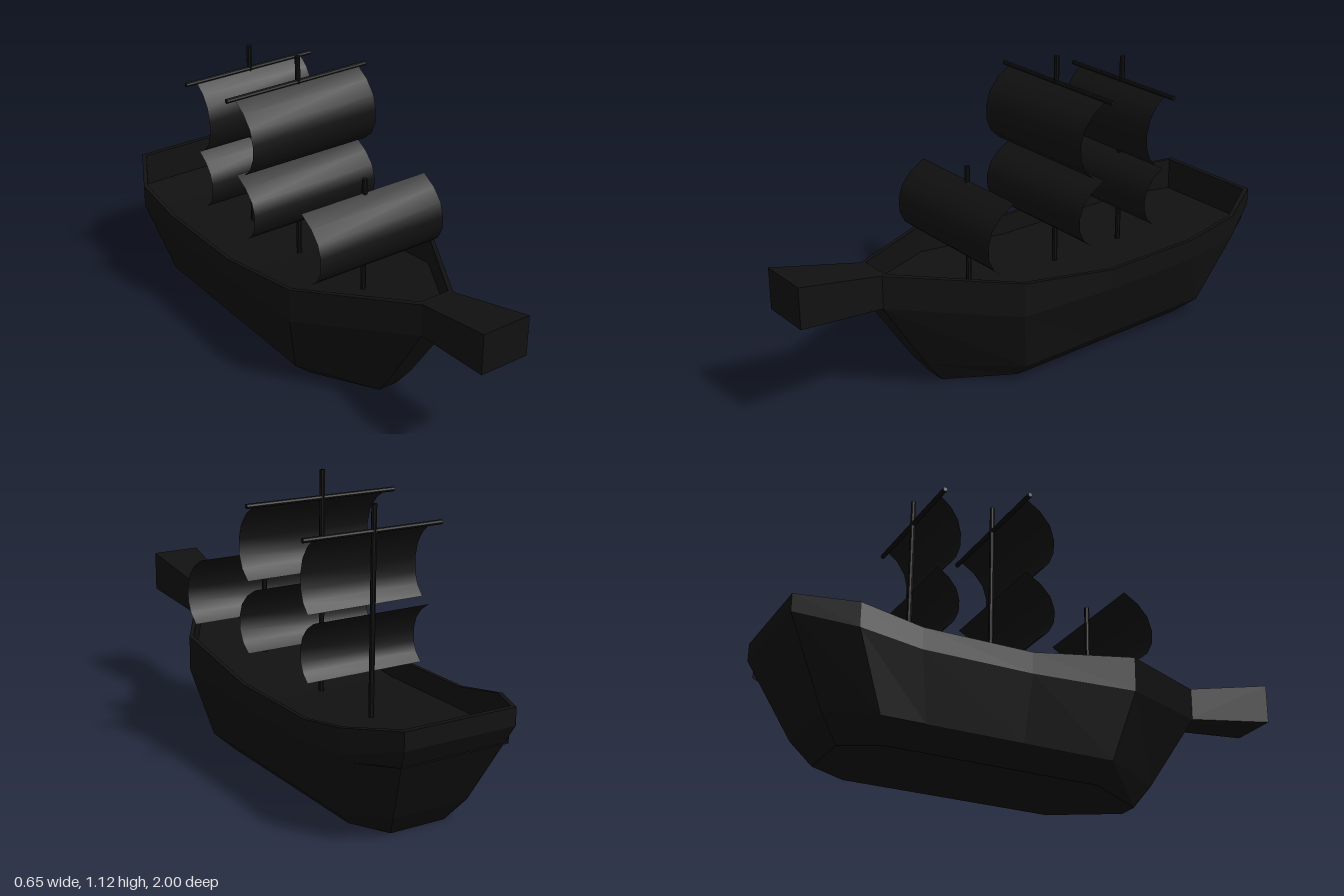
import * as THREE from 'three';

const material = new THREE.MeshStandardMaterial({ color: 0x111111, flatShading: true });
const sailMaterial = new THREE.MeshStandardMaterial({ color: 0x111111, side: THREE.DoubleSide });

function add(parent, name, geometry, mat = material) {
  const mesh = new THREE.Mesh(geometry, mat);
  mesh.name = name;
  parent.add(mesh);
  return mesh;
}

// Lofts mirrored loops, given as half-outlines [x, y, z] from stern to bow,
// and closes the first loop (facing down) and the last one (facing up).
function loftHull(levels) {
  const pos = [];
  const tri = (...p) => p.forEach((v) => pos.push(...v));
  const quad = (a, b, c, d) => { tri(a, b, c); tri(a, c, d); };
  const loops = levels.map((half) => [
    ...half, ...half.slice().reverse().map(([x, y, z]) => [-x, y, z]),
  ]);
  const n = loops[0].length;
  for (let i = 0; i < loops.length - 1; i++) {
    for (let j = 0; j < n; j++) {
      const k = (j + 1) % n;
      quad(loops[i][j], loops[i + 1][j], loops[i + 1][k], loops[i][k]);
    }
  }
  const bottom = loops[0], top = loops[loops.length - 1];
  for (let k = 0; k < n / 2 - 1; k++) {
    quad(bottom[k], bottom[k + 1], bottom[n - 2 - k], bottom[n - 1 - k]);
    quad(top[k], top[n - 1 - k], top[n - 2 - k], top[k + 1]);
  }
  const g = new THREE.BufferGeometry();
  g.setAttribute('position', new THREE.Float32BufferAttribute(pos, 3));
  g.computeVertexNormals();
  return g;
}

// Thin sheet hanging from the yard and bellying forward.
function sailGeometry(halfWidth, yTop, yBottom, z, depth) {
  const profile = [[0, 0], [0.13, 0.5], [0.3, 0.85], [0.5, 1], [0.7, 0.98], [0.87, 0.8], [1, 0.45]];
  const g = new THREE.PlaneGeometry(2 * halfWidth, 1, 1, profile.length - 1);
  const p = g.attributes.position;
  for (let i = 0; i < p.count; i++) {
    const [t, d] = profile[Math.floor(i / 2)];
    p.setY(i, yTop + (yBottom - yTop) * t);
    p.setZ(i, z + depth * d);
  }
  g.computeVertexNormals();
  return g;
}

export function createModel() {
  const ship = new THREE.Group();
  ship.name = 'sailingShip';

  // Hull: keel, chine, waist, outer rail, inner rail, deck
  const keel = [[0.11, 0, -0.78], [0.185, 0, -0.64], [0.185, 0, -0.5],
    [0.185, 0, -0.17], [0.185, 0, 0.16], [0.04, 0, 0.4]];
  const chine = [[0.15, 0.09, -0.85], [0.26, 0.07, -0.69], [0.26, 0.07, -0.53],
    [0.26, 0.07, -0.17], [0.26, 0.07, 0.18], [0.05, 0.09, 0.47]];
  const waist = [[0.22, 0.385, -1], [0.325, 0.33, -0.8], [0.325, 0.3, -0.58],
    [0.325, 0.3, -0.17], [0.325, 0.32, 0.24], [0.068, 0.385, 0.66]];
  const rail = [[0.22, 0.45, -1], [0.325, 0.42, -0.8], [0.325, 0.38, -0.58],
    [0.325, 0.38, -0.17], [0.325, 0.45, 0.24], [0.068, 0.51, 0.66]];
  const innerRail = [[0.21, 0.45, -0.98], [0.31, 0.42, -0.795], [0.31, 0.38, -0.58],
    [0.31, 0.38, -0.17], [0.31, 0.45, 0.235], [0.06, 0.51, 0.64]];
  const deckHeights = [0.32, 0.3, 0.3, 0.3, 0.34, 0.42];
  const deck = innerRail.map(([x, , z], i) => [x, deckHeights[i], z]);
  add(ship, 'hull', loftHull([keel, chine, waist, rail, innerRail, deck]));

  // Flared bow beam
  const beam = new THREE.BoxGeometry(2, 1, 1);
  const bp = beam.attributes.position;
  for (let i = 0; i < bp.count; i++) {
    const front = bp.getZ(i) > 0, upper = bp.getY(i) > 0;
    bp.setXYZ(i, bp.getX(i) * (front ? 0.097 : 0.068),
      front ? (upper ? 0.585 : 0.43) : (upper ? 0.51 : 0.385), front ? 1 : 0.65);
  }
  beam.computeVertexNormals();
  add(ship, 'bowBeam', beam);

  // Masts with their yards and sails
  const rigs = [
    { name: 'fore', z: 0.24, top: 0.79, width: 0.27, depth: 0.115, sails: [[0.735, 0.475]] },
    { name: 'main', z: -0.17, top: 1.115, width: 0.272, depth: 0.115,
      yard: [0.305, 1.015], sails: [[1.015, 0.735], [0.715, 0.47]] },
    { name: 'rear', z: -0.495, top: 1.05, width: 0.235, depth: 0.085,
      yard: [0.28, 0.957], sails: [[0.957, 0.69], [0.67, 0.45]] },
  ];
  for (const r of rigs) {
    const rig = new THREE.Group();
    rig.name = r.name + 'Rig';
    ship.add(rig);
    const height = r.top - 0.29;
    add(rig, r.name + 'Mast', new THREE.CylinderGeometry(0.01, 0.01, height, 8))
      .position.set(0, 0.29 + height / 2, r.z);
    if (r.yard) {
      const yard = add(rig, r.name + 'Yard', new THREE.CylinderGeometry(0.009, 0.009, 2 * r.yard[0], 8));
      yard.rotation.z = Math.PI / 2;
      yard.position.set(0, r.yard[1], r.z);
    }
    r.sails.forEach(([top, bottom], i) => add(rig, r.name + (i ? 'LowerSail' : 'UpperSail'),
      sailGeometry(r.width, top, bottom, r.z, r.depth), sailMaterial));
  }
  return ship;
}
